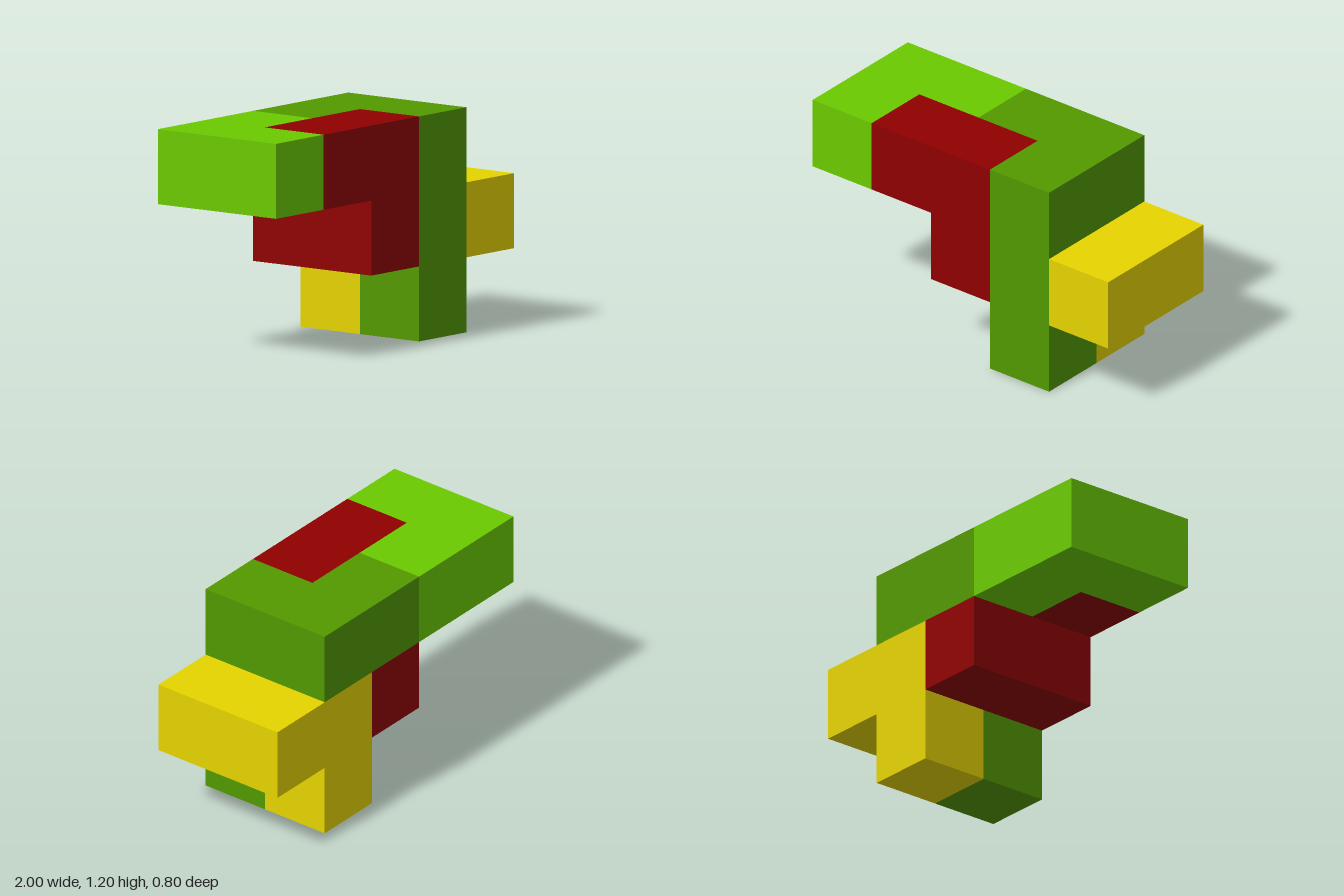
import * as THREE from 'three';
import { mergeGeometries } from 'three/addons/utils/BufferGeometryUtils.js';

const CELL = 0.4;
const DIRECTIONS = [[1, 0, 0], [-1, 0, 0], [0, 1, 0], [0, -1, 0], [0, 0, 1], [0, 0, -1]];

// Cells as [column from -x, row from the ground, 0 back / 1 front]
const PIECES = [
  { name: 'lightGreenCorner', color: 0x6bca00, cells: [[0, 2, 1], [0, 2, 0], [1, 2, 0]] },
  { name: 'darkGreenPillar', color: 0x539900, cells: [[3, 0, 1], [3, 1, 1], [3, 2, 1], [3, 2, 0], [2, 2, 0]] },
  { name: 'redHook', color: 0x900000, cells: [[1, 2, 1], [2, 2, 1], [2, 1, 1], [2, 1, 0]] },
  { name: 'yellowHook', color: 0xe6d400, cells: [[4, 1, 1], [4, 1, 0], [3, 1, 0], [3, 0, 0]] },
];

// Solid skin of a puzzle piece: one square per cell side not shared within the piece
function pieceGeometry(cells) {
  const filled = new Set(cells.map(String));
  const faces = [];
  for (const [i, j, k] of cells) {
    const centre = new THREE.Vector3(i - 2, j + 0.5, k - 0.5).multiplyScalar(CELL);
    for (const [dx, dy, dz] of DIRECTIONS) {
      if (filled.has(String([i + dx, j + dy, k + dz]))) continue;
      const normal = new THREE.Vector3(dx, dy, dz);
      const face = new THREE.PlaneGeometry(CELL, CELL).lookAt(normal);
      const at = normal.multiplyScalar(CELL / 2).add(centre);
      faces.push(face.translate(at.x, at.y, at.z));
    }
  }
  // Snap corners to the half-cell grid so neighbouring squares meet without cracks
  const geometry = mergeGeometries(faces);
  const corners = geometry.attributes.position.array;
  corners.set(corners.map((v) => Math.round(v * 5) / 5));
  return geometry;
}

export function createModel() {
  const model = new THREE.Group();
  model.name = 'blockPuzzle';
  for (const { name, color, cells } of PIECES) {
    const material = new THREE.MeshStandardMaterial({ color });
    material.name = name.replace(/[A-Z][a-z]+$/, '');
    const piece = new THREE.Mesh(pieceGeometry(cells), material);
    piece.name = name;
    model.add(piece);
  }
  return model;
}
